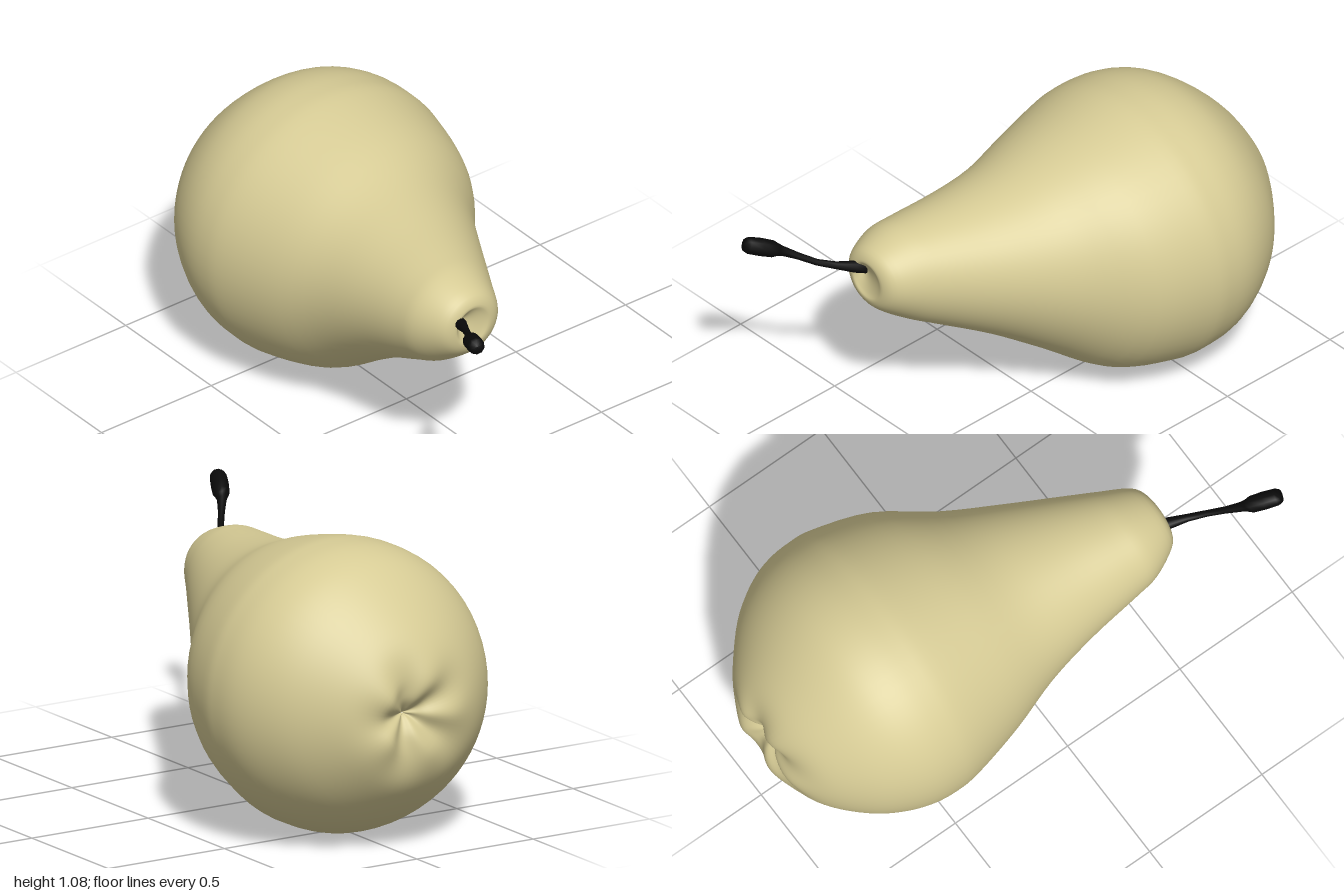
import * as THREE from 'three';

// Skin a list of closed rings (arrays of Vector3) with smooth shared normals
function loft(rings) {
  const n = rings[0].length, pos = [], index = [];
  for (const ring of rings) for (const p of ring) pos.push(p.x, p.y, p.z);
  for (let i = 0; i < rings.length - 1; i++) {
    for (let j = 0; j < n; j++) {
      const k = (j + 1) % n;
      const a = i * n + j, b = i * n + k, c = a + n, d = b + n;
      index.push(a, c, b, b, c, d);
    }
  }
  const geo = new THREE.BufferGeometry();
  geo.setAttribute('position', new THREE.Float32BufferAttribute(pos, 3));
  geo.setIndex(index);
  geo.computeVertexNormals();
  return geo;
}

// Fruit sections from neck tip to blossom end: z, left, right, bottom, top
const SECTIONS = [
  [0.6, -0.235, -0.225, 0.73, 0.74],
  [0.622, -0.25, -0.14, 0.66, 0.775],
  [0.63, -0.27, -0.1, 0.63, 0.8],
  [0.6, -0.315, -0.05, 0.585, 0.84],
  [0.5, -0.363, 0.01, 0.51, 0.877],
  [0.4, -0.375, 0.07, 0.455, 0.89],
  [0.2, -0.39, 0.19, 0.345, 0.912],
  [0, -0.42, 0.315, 0.21, 0.95],
  [-0.2, -0.48, 0.462, 0.07, 1.02],
  [-0.4, -0.53, 0.53, 0.008, 1.068],
  [-0.5, -0.54, 0.54, 0, 1.075],
  [-0.6, -0.53, 0.53, 0.01, 1.066],
  [-0.7, -0.495, 0.49, 0.047, 1.03],
  [-0.8, -0.435, 0.42, 0.11, 0.955],
  [-0.9, -0.34, 0.31, 0.2, 0.85],
  [-0.96, -0.25, 0.225, 0.28, 0.76],
  [-0.987, -0.16, 0.15, 0.37, 0.67],
  [-0.975, -0.07, 0.1, 0.45, 0.6],
  [-0.945, -0.02, 0.05, 0.505, 0.555],
  [-0.92, 0.01, 0.015, 0.528, 0.532],
];

function fruitGeometry() {
  const spline = (f) => new THREE.CatmullRomCurve3(SECTIONS.map(f), false, 'catmullrom', 0.5);
  const across = spline((s) => new THREE.Vector3(s[0], s[1], s[2]));
  const upright = spline((s) => new THREE.Vector3(s[0], s[3], s[4]));
  const steps = (SECTIONS.length - 1) * 4, sides = 64, rings = [];
  for (let i = 0; i <= steps; i++) {
    const h = across.getPoint(i / steps), v = upright.getPoint(i / steps);
    const rx = (h.z - h.y) / 2, ry = (v.z - v.y) / 2;
    // Five soft lobes around the blossom end, fading outwards and at the centre
    const lobe = h.x < -0.8 ? 0.013 * Math.exp(-(((rx - 0.13) / 0.1) ** 2)) : 0;
    rings.push(Array.from({ length: sides }, (_, j) => {
      const a = (j / sides) * Math.PI * 2;
      return new THREE.Vector3(
        (h.y + h.z) / 2 + rx * Math.cos(a),
        (v.y + v.z) / 2 + ry * Math.sin(a),
        h.x - lobe * Math.cos(5 * (a - 1.9)));
    }));
  }
  return loft(rings);
}

function stemGeometry() {
  const curve = new THREE.CatmullRomCurve3([
    new THREE.Vector3(-0.23, 0.735, 0.59),
    new THREE.Vector3(-0.252, 0.755, 0.65),
    new THREE.Vector3(-0.305, 0.792, 0.75),
    new THREE.Vector3(-0.385, 0.862, 0.865),
    new THREE.Vector3(-0.45, 0.918, 0.992),
  ]);
  // Distance along the stem and radius: flared foot, thin shaft, blunt knob
  const profile = [
    [0, 0], [0.005, 0.024], [0.1, 0.022], [0.25, 0.014], [0.4, 0.012], [0.55, 0.013],
    [0.68, 0.018], [0.72, 0.023], [0.76, 0.031], [0.86, 0.033], [0.96, 0.031], [0.99, 0.024], [1, 0],
  ];
  const res = 200, sides = 10;
  const frames = curve.computeFrenetFrames(res);
  return loft(profile.map(([t, r]) => {
    const f = Math.round(t * res), c = curve.getPointAt(t);
    return Array.from({ length: sides }, (_, j) => {
      const a = (j / sides) * Math.PI * 2;
      return c.clone()
        .addScaledVector(frames.normals[f], r * Math.cos(a))
        .addScaledVector(frames.binormals[f], -r * Math.sin(a));
    });
  }));
}

export function createModel() {
  const group = new THREE.Group();
  group.name = 'pear';
  const add = (name, geo, color) => {
    const mesh = new THREE.Mesh(geo, new THREE.MeshStandardMaterial({ color }));
    mesh.name = name;
    group.add(mesh);
  };
  add('fruit', fruitGeometry(), 0xd6cb95);
  add('stem', stemGeometry(), 0x0a0a0a);
  return group;
}
